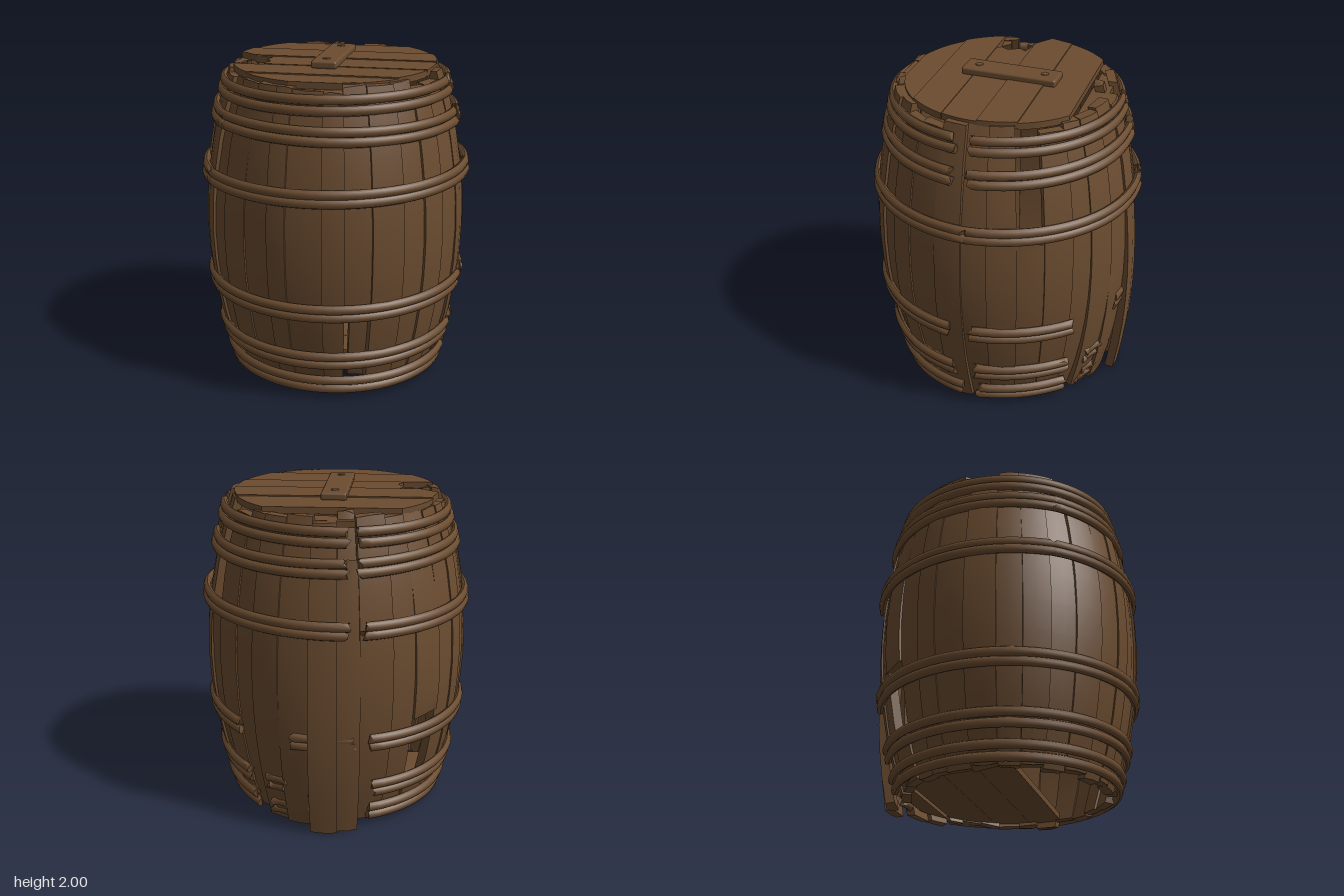
import * as THREE from 'three';
import { toCreasedNormals } from 'three/addons/utils/BufferGeometryUtils.js';
import { RoundedBoxGeometry } from 'three/addons/geometries/RoundedBoxGeometry.js';

const wood = new THREE.MeshStandardMaterial({ color: 0x6b4c30 });
wood.name = 'weathered brown';

const rad = THREE.MathUtils.degToRad;
let seed = 7;
const rand = (a, b) => {
  seed = (seed * 16807) % 2147483647;
  return a + (b - a) * (seed / 2147483647);
};

// Outer radius of the bulging barrel wall at height y
const wallRadius = (y) => 0.638 + 0.166 * (1 - ((y - 1) / 0.97) ** 2);
// Angle 0 is the front, 90 degrees is +x; the wall sits slightly off centre
const polar = (a, r, y) => [Math.sin(a) * r + 0.004, y, Math.cos(a) * r + 0.014];

function addMesh(parent, name, geometry) {
  const mesh = new THREE.Mesh(geometry, wood);
  mesh.name = name;
  parent.add(mesh);
  return mesh;
}

function addGroup(parent, name) {
  const group = new THREE.Group();
  group.name = name;
  parent.add(group);
  return group;
}

// Joins equal loops of points into a closed solid
function loft(rings, crease = 0.5) {
  const n = rings[0].length, last = (rings.length - 1) * n, index = [];
  for (let i = 0; i < rings.length - 1; i++) {
    for (let j = 0; j < n; j++) {
      const a = i * n + j, b = i * n + (j + 1) % n;
      index.push(a, b, b + n, a, b + n, a + n);
    }
  }
  for (let j = 1; j < n - 1; j++) {
    index.push(0, j + 1, j, last, last + j, last + j + 1);
  }
  const geo = new THREE.BufferGeometry();
  geo.setAttribute('position', new THREE.Float32BufferAttribute(rings.flat(2), 3));
  geo.setIndex(index);
  return toCreasedNormals(geo, crease);
}

// Curved plank between two angles and two heights;
// splay pushes its foot outwards, lean pulls its top inwards
function stave(a0, a1, y0, y1, { splay = 0, lean = 0, offset = 0, jag = 0.006 } = {}) {
  const rings = [], steps = 10, mid = (a0 + a1) / 2;
  for (let i = 0; i <= steps; i++) {
    const t = i / steps, y = y0 + (y1 - y0) * t;
    const r = wallRadius(y) + offset + splay * Math.max(0, 1 - y / 1.3) ** 1.6 - lean * Math.max(0, y - 1);
    const end = i === 0 || i === steps ? jag : 0;
    rings.push([[a0, r], [mid, r + 0.003], [a1, r], [a1, r - 0.055], [a0, r - 0.055]]
      .map(([a, q]) => polar(a, q, Math.max(0.003, y + rand(-end, end)))));
  }
  return loft(rings);
}

// Rounded hoop piece with splintered ends that peel away from the wall
function hoop(from, to, y, { tilt, peel, lift }) {
  const a0 = rad(from), a1 = rad(to), rings = [];
  const steps = Math.max(4, Math.round((to - from) / 5));
  for (let i = 0; i <= steps; i++) {
    const t = i / steps, a = a0 + (a1 - a0) * t;
    const end = i === 0 || i === steps ? 0.025 : 0;
    const out = peel * (Math.exp(-t * 5) + Math.exp(-(1 - t) * 5));
    const h = y + tilt * Math.sin(a), ring = [];
    for (let k = 0; k < 8; k++) {
      const p = (k / 8) * Math.PI * 2;
      ring.push(polar(a + rand(-end, end), wallRadius(y) + lift + out + 0.024 * Math.sin(p), h + 0.03 * Math.cos(p)));
    }
    rings.push(ring);
  }
  return loft(rings, 0.9);
}

// Board lying along x, trimmed to a disc; brokenEnd replaces the -x end with points [x, z]
function discBoard(radius, z0, z1, thickness, brokenEnd) {
  const edge = (z) => Math.sqrt(Math.max(0, radius * radius - z * z));
  const right = [], left = [];
  for (let i = 0; i <= 6; i++) {
    const z = z0 + ((z1 - z0) * i) / 6;
    right.push(new THREE.Vector2(edge(z), -z));
    left.unshift(new THREE.Vector2(-edge(z), -z));
  }
  const end = brokenEnd ? brokenEnd.map(([x, z]) => new THREE.Vector2(x, -z)) : left;
  const geo = new THREE.ExtrudeGeometry(new THREE.Shape([...right, ...end]), { depth: thickness, bevelEnabled: false });
  return geo.rotateX(-Math.PI / 2);
}

export function createModel() {
  seed = 7;
  const barrel = new THREE.Group();
  barrel.name = 'barrel';

  // Wall of staves, with missing stretches and a few loose planks
  const staves = addGroup(barrel, 'staves');
  const count = 30, step = 360 / count;
  const spans = { // heights kept for damaged staves
    2: [[0.6, 1.93]],
    10: [[0.02, 1.25]],
    16: [[0.008, 1.7]],
    19: [[0.03, 0.24], [0.72, 1.92]],
    23: [[0.03, 1.78]],
  };
  const splays = { 7: 0.02, 13: 0.03, 14: 0.07, 15: 0.14, 16: 0.12 };
  const leans = { 8: 0.03, 9: 0.03, 19: 0.03, 25: 0.02, 26: 0.035, 27: 0.02 };
  const bounds = Array.from({ length: count }, (_, i) => i * step - 9 + rand(-2, 2));
  bounds.push(bounds[0] + 360);
  for (let i = 0; i < count; i++) {
    const loose = i in splays;
    const heights = spans[i] || [[loose ? 0.008 : rand(0.015, 0.04), rand(1.89, 1.95)]];
    const offset = (i % 2 ? 1 : -1) * rand(0.002, 0.01);
    for (const [y0, y1] of heights) {
      addMesh(staves, 'stave', stave(rad(bounds[i] - 0.05), rad(bounds[i + 1] + 0.05), y0, y1,
        { splay: splays[i], lean: leans[i], offset, jag: spans[i] ? 0.02 : 0.006 }));
    }
  }
  // Planks slipped inside the wall: [from, to, bottom, top, offset]
  for (const [a0, a1, y0, y1, offset] of [
    [184, 194, 1.3, 1.95, -0.07], [17, 28, 0.12, 0.7, -0.05], [264, 274, 1.3, 1.92, -0.06], [285, 294, 1.4, 1.92, -0.06],
  ]) {
    addMesh(staves, 'slippedStave', stave(rad(a0), rad(a1), y0, y1, { offset, jag: 0.015 }));
  }

  // Twin hoops, each broken into arcs [from, to]
  const hoops = addGroup(barrel, 'hoops');
  const lower = [[201, 443], [93, 139], [150, 160], [172, 180]];
  const hoopRows = [
    { ys: [1.865, 1.805], arcs: [[194, 443], [92, 188]], tilt: 0.006, peel: 0.012, lift: 0.002 },
    { ys: [1.695, 1.64], arcs: [[194, 310], [308, 443], [92, 188]], tilt: -0.01, peel: 0.02, lift: 0.0 },
    { ys: [1.35, 1.3], arcs: [[195, 305], [304, 449], [91, 188]], tilt: 0.008, peel: 0.015, lift: 0.012 },
    { ys: [0.645, 0.59], arcs: [[198, 441], [91, 138], [165, 191]], tilt: 0.005, peel: 0.01, lift: 0.008 },
    { ys: [0.31, 0.25], arcs: lower, tilt: 0.003, peel: 0.015, lift: 0.008 },
    { ys: [0.13, 0.065], arcs: lower, tilt: -0.004, peel: 0.018, lift: 0.012 },
  ];
  for (const { ys, arcs, ...shape } of hoopRows) {
    for (const y of ys) {
      for (const [from, to] of arcs) {
        addMesh(hoops, 'hoop', hoop(from + rand(-1.5, 1.5), to + rand(-1.5, 1.5), y, shape));
      }
    }
  }

  // Lid boards, two of them broken at the -x side
  const lid = addGroup(barrel, 'lid');
  const lidBoards = [
    [-0.6, -0.49, 1.87],
    [-0.475, -0.23, 1.914],
    [-0.23, -0.009, 1.922, [[-0.5, -0.009], [-0.61, -0.09], [-0.57, -0.23]]],
    [-0.009, 0.207, 1.915, [[-0.38, 0.207], [-0.4, 0.18], [-0.37, 0.13], [-0.41, 0.06], [-0.38, 0.02], [-0.5, -0.009]]],
    [0.212, 0.43, 1.912],
    [0.43, 0.6, 1.904],
  ];
  for (const [z0, z1, y, broken] of lidBoards) {
    addMesh(lid, 'lidBoard', discBoard(0.62, z0, z1, 0.04, broken)).position.y = y;
  }

  // Cross bar on the lid with two bolts
  const bar = addGroup(barrel, 'lidBar');
  bar.position.set(-0.008, 1.973, -0.012);
  bar.rotation.y = -0.035;
  addMesh(bar, 'bar', new RoundedBoxGeometry(0.155, 0.046, 0.585, 2, 0.014));
  for (const z of [-0.205, 0.205]) {
    addMesh(bar, 'bolt', new THREE.CylinderGeometry(0.022, 0.026, 0.008, 14)).position.set(0, 0.023, z);
  }

  // Floor boards run side to side; those nearest the front have fallen out
  const floor = addGroup(barrel, 'floor');
  floor.position.y = 0.045;
  for (const [z0, z1] of [[-0.6, -0.495], [-0.47, -0.23], [-0.228, -0.011], [-0.009, 0.195]]) {
    addMesh(floor, 'floorBoard', discBoard(0.615, z0, z1, 0.04));
  }
  return barrel;
}
